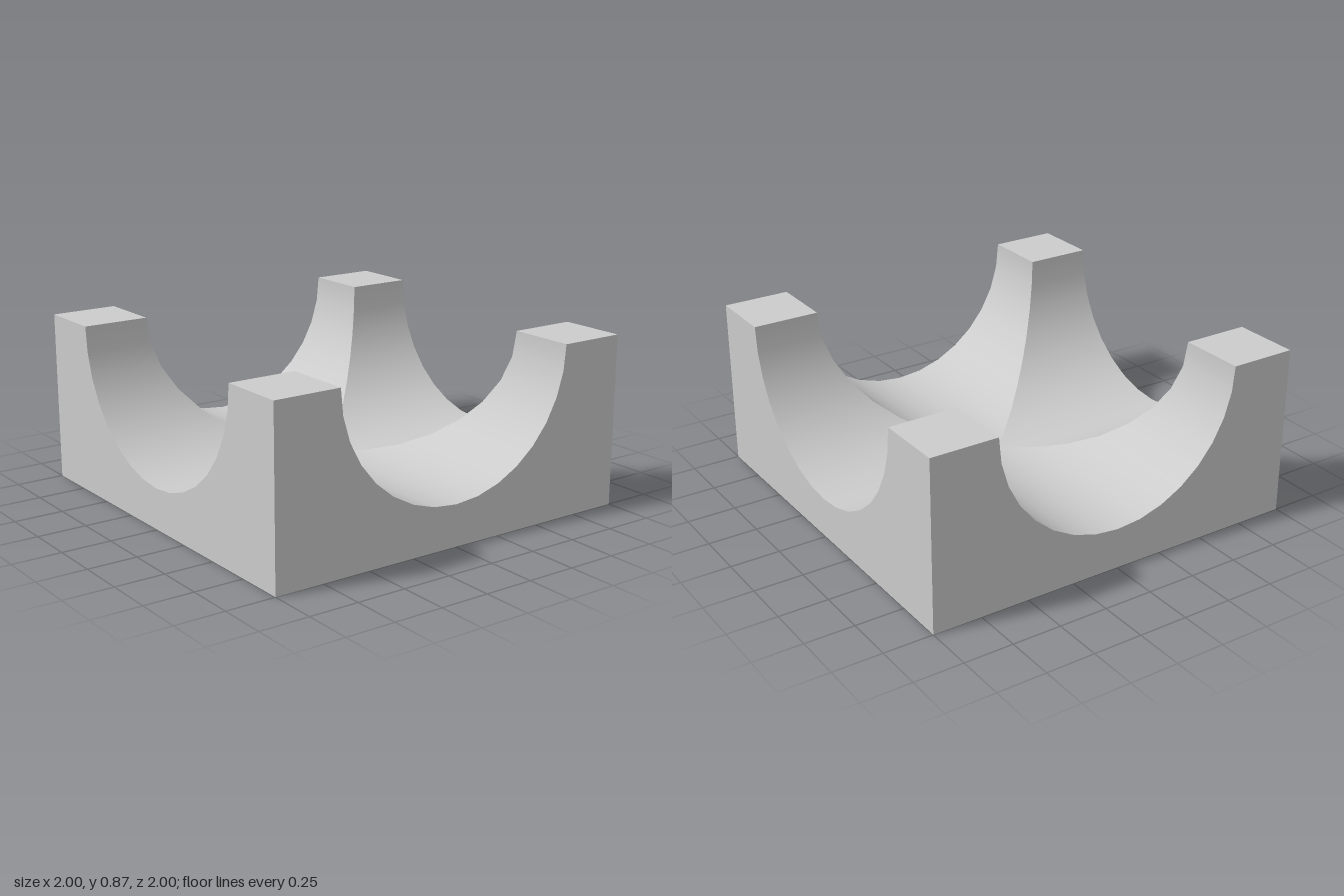
import * as THREE from 'three';

const HEIGHT = 0.866; // top of the corner posts, also the axis height of both channels
const RADIUS = 0.658;
const SEGMENTS = 16;

// Half-round section from left to right: [x, y]
const arc = Array.from({ length: SEGMENTS + 1 }, (_, i) => {
  const a = Math.PI * (i / SEGMENTS - 0.5);
  return [RADIUS * Math.sin(a), HEIGHT - RADIUS * Math.cos(a)];
});

// One arm of the crossing channels, mitred along the diagonals |x| = z
function channelGeometry() {
  const positions = [], normals = [], index = [];
  arc.forEach(([x, y], i) => {
    positions.push(x, y, 1, x, y, Math.abs(x));
    for (let k = 0; k < 2; k++) normals.push(-x / RADIUS, (HEIGHT - y) / RADIUS, 0);
    if (i < SEGMENTS) {
      const n = i * 2;
      index.push(n, n + 2, n + 3, n, n + 3, n + 1);
    }
  });
  const geometry = new THREE.BufferGeometry();
  geometry.setAttribute('position', new THREE.Float32BufferAttribute(positions, 3));
  geometry.setAttribute('normal', new THREE.Float32BufferAttribute(normals, 3));
  geometry.setIndex(index);
  return geometry;
}

// Flat outer wall with the half-round cut-out
function wallGeometry() {
  const shape = new THREE.Shape([
    [-1, 0], [1, 0], [1, HEIGHT], ...[...arc].reverse(), [-1, HEIGHT],
  ].map(([x, y]) => new THREE.Vector2(x, y)));
  return new THREE.ShapeGeometry(shape).translate(0, 0, 1);
}

export function createModel() {
  const model = new THREE.Group();
  model.name = 'crossChannelBlock';
  const material = new THREE.MeshStandardMaterial({ color: 0xcccccc });
  const add = (parent, name, geometry) => {
    const mesh = new THREE.Mesh(geometry, material);
    mesh.name = name;
    parent.add(mesh);
  };

  // Underside
  add(model, 'base', new THREE.PlaneGeometry(2, 2).rotateX(Math.PI / 2));

  // Four identical sides, each with its wall, channel arm and one post top
  const wall = wallGeometry();
  const channel = channelGeometry();
  const mid = (1 + RADIUS) / 2;
  const postTop = new THREE.PlaneGeometry(1 - RADIUS, 1 - RADIUS)
    .rotateX(-Math.PI / 2).translate(mid, HEIGHT, mid);
  ['front', 'left', 'back', 'right'].forEach((name, i) => {
    const side = new THREE.Group();
    side.name = name + 'Side';
    side.rotation.y = i * Math.PI / 2;
    add(side, 'wall', wall);
    add(side, 'channel', channel);
    add(side, 'postTop', postTop);
    model.add(side);
  });
  return model;
}
